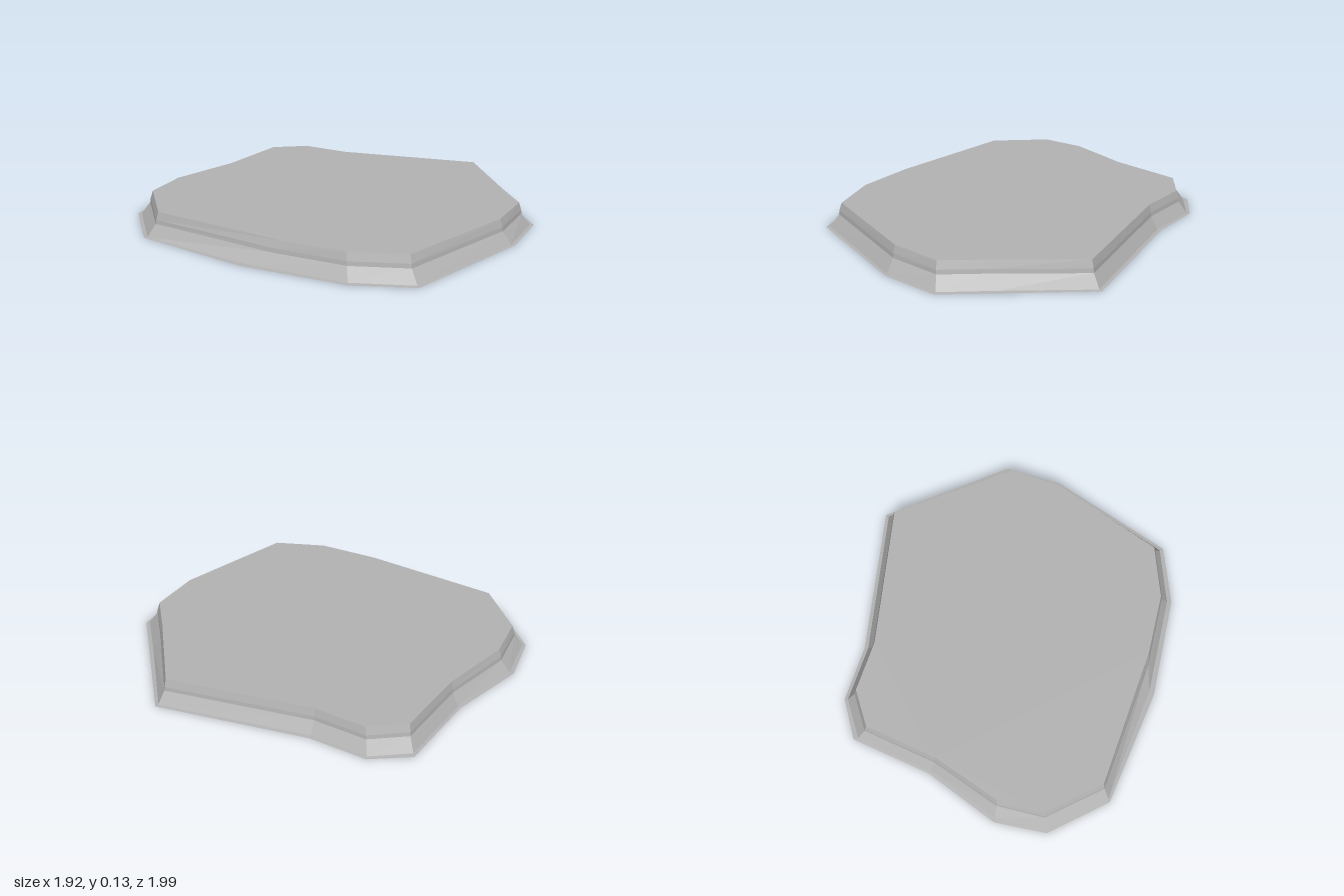
import * as THREE from 'three';

// Corner pairs as [x, z, x, z]: foot of the slope, then rim of the top face
const corners = [
  [0.19, -0.98, 0.19, -0.92], [0.6, -0.73, 0.6, -0.655], [0.84, -0.59, 0.80, -0.535],
  [0.94, -0.29, 0.88, -0.265], [0.935, 0.42, 0.87, 0.40], [0.69, 0.625, 0.645, 0.59],
  [0.19, 0.83, 0.33, 0.715], [-0.43, 0.975, -0.405, 0.915], [-0.75, 0.80, -0.705, 0.75],
  [-0.86, 0.55, -0.795, 0.52], [-0.86, 0.13, -0.805, 0.13], [-0.945, -0.295, -0.885, -0.265],
  [-0.81, -0.475, -0.76, -0.435], [-0.515, -0.57, -0.495, -0.52],
];

// Ring of points between foot (t = 0) and rim (t = 1)
const ring = (t, y) => corners.map(([ax, az, bx, bz]) =>
  new THREE.Vector3(ax + (bx - ax) * t, y, az + (bz - az) * t));

// Faceted wall joining a lower ring to an upper one
function wall(a, b) {
  const pos = [];
  a.forEach((p, i) => {
    const j = (i + 1) % a.length;
    for (const v of [p, b[i], a[j], a[j], b[i], b[j]]) pos.push(v.x, v.y, v.z);
  });
  const g = new THREE.BufferGeometry();
  g.setAttribute('position', new THREE.Float32BufferAttribute(pos, 3));
  g.computeVertexNormals();
  return g;
}

// Flat polygon facing up (dir = 1) or down (dir = -1)
function cap(points, dir) {
  const shape = new THREE.Shape(points.map(p => new THREE.Vector2(p.x, -dir * p.z)));
  return new THREE.ShapeGeometry(shape).rotateX(-dir * Math.PI / 2).translate(0, points[0].y, 0);
}

export function createModel() {
  const group = new THREE.Group();
  group.name = 'stoneSlab';
  const stone = new THREE.MeshStandardMaterial({ color: 0xb4b4b4, flatShading: true });
  stone.name = 'stone grey';
  const add = (name, geometry) => {
    const mesh = new THREE.Mesh(geometry, stone);
    mesh.name = name;
    group.add(mesh);
  };

  // Thin skirt lying on the ground around the slab
  const skirt = [
    [0.19, -1], [0.61, -0.75], [0.855, -0.605], [0.955, -0.30], [0.955, 0.43], [0.705, 0.645],
    [0.19, 0.86], [-0.44, 0.99], [-0.765, 0.815], [-0.88, 0.56], [-0.875, 0.13],
    [-0.965, -0.31], [-0.82, -0.49], [-0.525, -0.587],
  ].map(([x, z]) => new THREE.Vector3(x, 0, z));
  const foot = ring(0, 0.002), lowBand = ring(0.74, 0.068);
  const highBand = ring(0.79, 0.09), rim = ring(1, 0.132);

  add('skirt', wall(skirt, foot));
  add('lowerSlope', wall(foot, lowBand));
  add('steepBand', wall(lowBand, highBand));
  add('upperBevel', wall(highBand, rim));
  add('topFace', cap(rim, 1));
  add('underside', cap(skirt, -1));
  return group;
}
